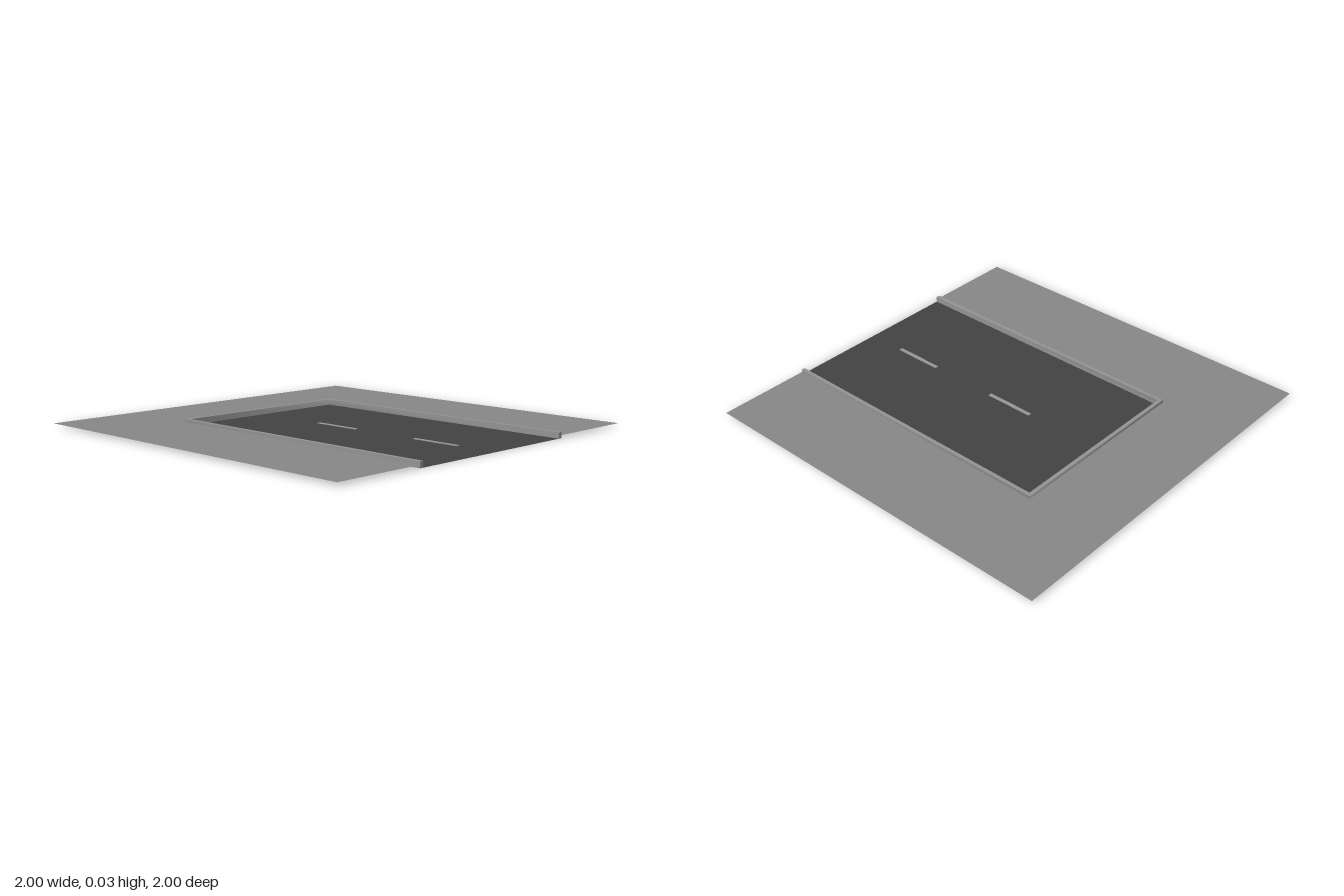
import * as THREE from 'three';

const mat = (name, color, side = THREE.FrontSide) => {
  const m = new THREE.MeshStandardMaterial({ color, side });
  m.name = name;
  return m;
};

const OUT = 0.51, IN = 0.49, BACK_OUT = -0.565, BACK_IN = -0.545;
const GROUND_Y = 0.015, KERB_Y = 0.03;

// U-shaped run around the road, open towards the front
const outline = (x, z, y) => [[-x, y, 1], [-x, y, z], [x, y, z], [x, y, 1]];

// Quad strip between two runs, with normals smoothed round the corners
function strip(a, b) {
  const geo = new THREE.BufferGeometry();
  const index = [];
  for (let i = 0; i < a.length - 1; i++) {
    const n = a.length + i;
    index.push(i, i + 1, n, i + 1, n + 1, n);
  }
  geo.setAttribute('position', new THREE.Float32BufferAttribute([...a, ...b].flat(), 3));
  geo.setIndex(index);
  geo.computeVertexNormals();
  return geo;
}

export function createModel() {
  const group = new THREE.Group();
  const pavementGrey = mat('pavement grey', 0x868686, THREE.DoubleSide);
  const asphalt = mat('asphalt', 0x424242, THREE.DoubleSide);
  const kerbGrey = mat('kerb grey', 0x929292, THREE.DoubleSide);
  const linePaint = mat('line paint', 0x959595);

  const add = (name, geo, material, parent = group) => {
    const mesh = new THREE.Mesh(geo, material);
    mesh.name = name;
    parent.add(mesh);
    return mesh;
  };

  // Pavement sheet surrounding the road on three sides
  const shape = new THREE.Shape([
    [-1, -1], [-OUT, -1], [-OUT, -BACK_OUT], [OUT, -BACK_OUT],
    [OUT, -1], [1, -1], [1, 1], [-1, 1],
  ].map(([x, y]) => new THREE.Vector2(x, y)));
  const sheet = new THREE.ShapeGeometry(shape).rotateX(-Math.PI / 2);
  add('pavement', sheet, pavementGrey).position.y = GROUND_Y;

  // Sunken road surface
  const roadLength = 1 - BACK_OUT;
  const road = new THREE.PlaneGeometry(2 * OUT, roadLength).rotateX(-Math.PI / 2);
  add('road', road, asphalt).position.z = 1 - roadLength / 2;

  // Kerb: outer wall, top and inner wall, closed at the two front ends
  const kerb = new THREE.Group();
  kerb.name = 'kerb';
  group.add(kerb);
  const outerLow = outline(OUT, BACK_OUT, 0), outerHigh = outline(OUT, BACK_OUT, KERB_Y);
  const innerLow = outline(IN, BACK_IN, 0), innerHigh = outline(IN, BACK_IN, KERB_Y);
  add('kerbOuterWall', strip(outerHigh, outerLow), kerbGrey, kerb);
  add('kerbTop', strip(innerHigh, outerHigh), kerbGrey, kerb);
  add('kerbInnerWall', strip(innerLow, innerHigh), kerbGrey, kerb);
  for (const side of [-1, 1]) {
    const cap = add('kerbEnd', new THREE.PlaneGeometry(OUT - IN, KERB_Y), kerbGrey, kerb);
    cap.position.set(side * (OUT + IN) / 2, KERB_Y / 2, 1);
  }

  // Dashed centre line
  for (const z of [0.01, 0.655]) {
    add('centreDash', new THREE.BoxGeometry(0.02, 0.003, 0.268), linePaint).position.set(0, 0.0025, z);
  }
  return group;
}
